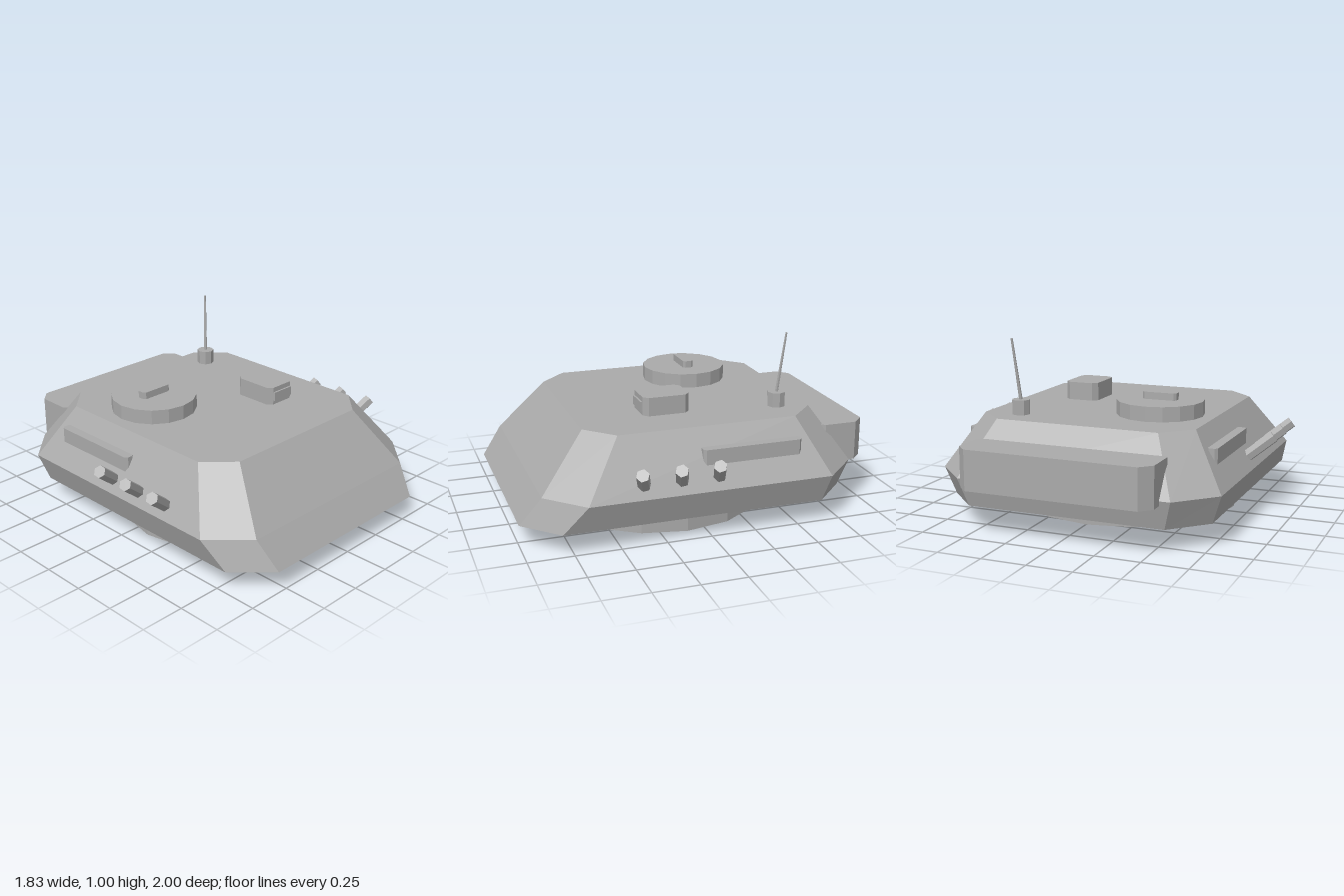
import * as THREE from 'three';

const grey = new THREE.MeshStandardMaterial({ color: 0xaaaaaa, flatShading: true });
grey.name = 'plain grey';

function add(parent, name, geometry, x = 0, y = 0, z = 0) {
  const mesh = new THREE.Mesh(geometry, grey);
  mesh.name = name;
  mesh.position.set(x, y, z);
  parent.add(mesh);
  return mesh;
}

// Upright box with the four vertical edges cut off; stands on its own y = 0
function chamferBox(w, h, d, c) {
  const a = w / 2, b = d / 2;
  const outline = [[a, b - c], [a - c, b], [c - a, b], [-a, b - c],
    [-a, c - b], [c - a, -b], [a - c, -b], [a, c - b]];
  const shape = new THREE.Shape(outline.map(([x, y]) => new THREE.Vector2(x, y)));
  return new THREE.ExtrudeGeometry(shape, { depth: h, bevelEnabled: false }).rotateX(-Math.PI / 2);
}

// Eight-sided shell lofted through rings: side x, end x, then z of the four levels
function shellGeometry(rings) {
  const pos = [], index = [], n = 8;
  for (const { y, side, end, front, frontSide, backSide, back } of rings) {
    const ring = [[side, frontSide], [end, front], [-end, front], [-side, frontSide],
      [-side, backSide], [-end, back], [end, back], [side, backSide]];
    for (const [x, z] of ring) pos.push(x, y, z);
  }
  for (let r = 0; r < rings.length - 1; r++) {
    for (let i = 0; i < n; i++) {
      const a = r * n + i, b = r * n + (i + 1) % n;
      index.push(b, a, a + n, b, a + n, b + n);
    }
  }
  const top = (rings.length - 1) * n;
  for (let i = 1; i < n - 1; i++) index.push(0, i, i + 1, top, top + i + 1, top + i);
  const g = new THREE.BufferGeometry();
  g.setAttribute('position', new THREE.Float32BufferAttribute(pos, 3));
  g.setIndex(index);
  const flat = g.toNonIndexed();
  flat.computeVertexNormals();
  return flat;
}

// Cylinder running between two points
function rod(parent, name, from, to, r0, r1, sides) {
  const a = new THREE.Vector3(...from), b = new THREE.Vector3(...to);
  const dir = b.clone().sub(a);
  const mesh = add(parent, name, new THREE.CylinderGeometry(r1, r0, dir.length(), sides));
  mesh.position.copy(a).add(b).multiplyScalar(0.5);
  mesh.quaternion.setFromUnitVectors(new THREE.Vector3(0, 1, 0), dir.normalize());
  return mesh;
}

export function createModel() {
  const model = new THREE.Group();
  model.name = 'turret';

  // Turret ring and armoured shell
  add(model, 'turretRing', new THREE.CylinderGeometry(0.645, 0.645, 0.13, 16), 0, 0.065, 0.1);
  add(model, 'turretShell', shellGeometry([
    { y: 0.122, side: 0.75, end: 0.56, front: 1, frontSide: 0.81, backSide: -0.64, back: -0.83 },
    { y: 0.28, side: 0.805, end: 0.605, front: 0.885, frontSide: 0.685, backSide: -0.67, back: -0.873 },
    { y: 0.578, side: 0.617, end: 0.465, front: 0.63, frontSide: 0.48, backSide: -0.525, back: -0.675 },
  ]));

  // Rear stowage bin
  add(model, 'rearBin', chamferBox(1.09, 0.222, 0.31, 0.062), 0, 0.255, -0.845);

  // Round hatch with its handle
  add(model, 'hatch', new THREE.CylinderGeometry(0.244, 0.244, 0.09, 16), -0.304, 0.615, -0.203);
  add(model, 'hatchHandle', chamferBox(0.195, 0.05, 0.062, 0.012), -0.304, 0.65, -0.203);

  // Sight box with a window block on its front
  add(model, 'sightBox', chamferBox(0.2, 0.115, 0.265, 0.028), 0.273, 0.567, 0.127);
  add(model, 'sightWindow', new THREE.BoxGeometry(0.14, 0.052, 0.04), 0.273, 0.628, 0.25);

  // Antenna
  add(model, 'antennaBase', new THREE.CylinderGeometry(0.051, 0.051, 0.09, 8), 0.405, 0.615, -0.505);
  rod(model, 'antenna', [0.405, 0.65, -0.505], [0.437, 1, -0.54], 0.01, 0.006, 6);

  // Side boxes and grenade launchers, mirrored
  for (const [s, side] of [[1, 'left'], [-1, 'right']]) {
    add(model, side + 'SideBox', chamferBox(0.06, 0.09, 0.56, 0.014), s * 0.7, 0.393, -0.238);
    for (let i = 0; i < 3; i++) {
      const z = i * 0.207;
      rod(model, `${side}Launcher${i + 1}`, [s * 0.752, 0.337, z - 0.036],
        [s * 0.893, 0.453, z + 0.016], 0.035, 0.035, 6);
    }
  }
  return model;
}
